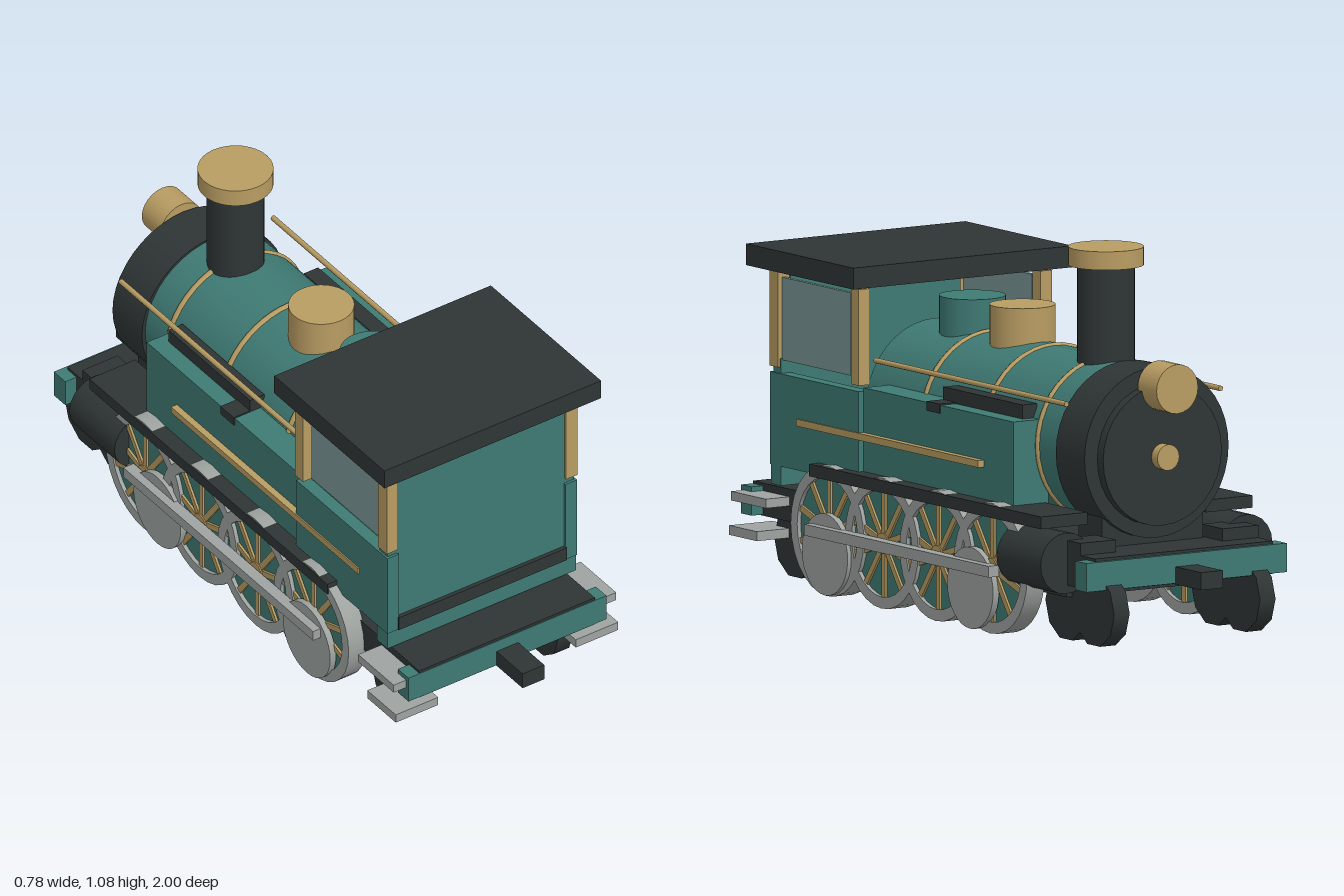
import * as THREE from 'three';

const mat = (color) => new THREE.MeshStandardMaterial({ color });

export function createModel() {
  const model = new THREE.Group();
  model.name = 'locomotive';
  const teal = mat(0x3f7a74), dark = mat(0x2f3535), brass = mat(0xb89c62);
  const steel = mat(0x9ea3a0), glass = mat(0x7b9697);

  const add = (name, geo, m, parent = model) => {
    const mesh = new THREE.Mesh(geo, m);
    mesh.name = name;
    parent.add(mesh);
    return mesh;
  };
  // Box given by its limits on each axis
  const box = (name, m, x0, x1, y0, y1, z0, z1, parent) => {
    const b = add(name, new THREE.BoxGeometry(x1 - x0, y1 - y0, z1 - z0), m, parent);
    b.position.set((x0 + x1) / 2, (y0 + y1) / 2, (z0 + z1) / 2);
    return b;
  };
  // The same box on both sides of the model
  const pair = (name, m, x0, x1, ...rest) => {
    box(name + 'Left', m, x0, x1, ...rest);
    box(name + 'Right', m, -x1, -x0, ...rest);
  };
  // Cylinder along z, from z0 to z1
  const drumZ = (name, m, r, x, y, z0, z1, sides = 32) => {
    const g = new THREE.CylinderGeometry(r, r, z1 - z0, sides).rotateX(Math.PI / 2);
    add(name, g, m).position.set(x, y, (z0 + z1) / 2);
  };
  // Upright cylinder
  const stack = (name, m, r, y0, y1, z) =>
    add(name, new THREE.CylinderGeometry(r, r, y1 - y0, 32), m).position.set(0, (y0 + y1) / 2, z);

  // Chassis, decks, beams and couplers
  box('deck', dark, -0.3, 0.3, 0.177, 0.27, -0.86, 0.87);
  box('belly', dark, -0.29, 0.29, 0.14, 0.25, -0.7, 0.6);
  box('rearBeam', teal, -0.338, 0.338, 0.18, 0.262, 0.82, 0.872);
  box('frontBeam', teal, -0.338, 0.338, 0.18, 0.262, -0.872, -0.815);
  box('rearCoupler', dark, -0.037, 0.037, 0.177, 0.227, 0.85, 1);
  box('frontCoupler', dark, -0.037, 0.037, 0.177, 0.227, -1, -0.85);
  pair('runningBoard', dark, 0.2, 0.357, 0.335, 0.37, -0.67, 0.5);
  pair('frontStep', dark, 0.18, 0.3, 0.265, 0.305, -0.785, -0.68);
  pair('upperStep', steel, 0.3, 0.38, 0.222, 0.248, 0.685, 0.86);
  pair('lowerStep', steel, 0.235, 0.38, 0.123, 0.15, 0.73, 0.87);

  // Boiler, smokebox and door
  drumZ('boiler', teal, 0.232, 0, 0.535, -0.58, 0.4, 40);
  drumZ('smokebox', dark, 0.243, 0, 0.53, -0.72, -0.575, 40);
  drumZ('smokeboxDoor', dark, 0.2, 0, 0.525, -0.75, -0.71, 32);
  drumZ('doorKnob', brass, 0.037, 0, 0.522, -0.78, -0.74, 20);
  drumZ('headlamp', brass, 0.07, 0, 0.722, -0.825, -0.73, 24);
  box('smokeboxSaddle', dark, -0.17, 0.17, 0.25, 0.36, -0.7, -0.58);
  for (const z of [-0.467, -0.198, 0.113]) {
    const band = add('boilerBand', new THREE.TorusGeometry(0.229, 0.01, 8, 48), brass);
    band.position.set(0, 0.535, z);
  }

  // Chimney and domes
  stack('chimney', dark, 0.081, 0.72, 1.035, -0.465);
  stack('chimneyCap', brass, 0.107, 1.03, 1.082, -0.465);
  stack('steamDome', brass, 0.093, 0.7, 0.864, -0.043);
  stack('rearDome', teal, 0.094, 0.7, 0.857, 0.21);

  // Side tanks, trim and handrails
  pair('sideTank', teal, 0.19, 0.308, 0.335, 0.608, -0.458, 0.3);
  pair('tankStripe', brass, 0.3, 0.328, 0.461, 0.481, -0.31, 0.61);
  pair('tankTopPipe', dark, 0.207, 0.256, 0.605, 0.648, -0.427, -0.025);
  pair('tankTopBracket', dark, 0.207, 0.312, 0.585, 0.612, -0.09, -0.025);
  for (const s of [-1, 1]) drumZ('handrail', brass, 0.008, s * 0.26, 0.68, -0.655, 0.31, 8);

  // Cab
  box('cabFloor', dark, -0.287, 0.287, 0.335, 0.378, 0.3, 0.752);
  box('cabBackWall', teal, -0.287, 0.287, 0.37, 0.9, 0.7, 0.74);
  box('cabBackSill', teal, -0.322, 0.322, 0.28, 0.337, 0.695, 0.745);
  box('cabBackHeader', teal, -0.318, 0.318, 0.885, 0.9, 0.7, 0.74);
  pair('cabSide', teal, 0.285, 0.324, 0.335, 0.598, 0.3, 0.748);
  pair('cabWaistRail', teal, 0.287, 0.318, 0.595, 0.64, 0.7, 0.74);
  pair('cabRearPost', brass, 0.287, 0.326, 0.615, 0.888, 0.705, 0.748);
  pair('cabFrontPost', brass, 0.287, 0.326, 0.615, 0.888, 0.297, 0.336);
  pair('cabWindow', glass, 0.3, 0.312, 0.635, 0.87, 0.358, 0.705);
  box('cabRoof', dark, -0.37, 0.37, 0.897, 0.958, 0.258, 0.8);

  // Spoked driving wheel: steel tyre, coloured disc, brass spokes
  const rimProfile = [[0.152, -0.03], [0.185, -0.03], [0.185, 0.03], [0.152, 0.03], [0.152, -0.03]]
    .map(([r, y]) => new THREE.Vector2(r, y));
  // Separate lathe per profile edge keeps the corners sharp
  const rimGeos = rimProfile.slice(1).map((p, i) =>
    new THREE.LatheGeometry([rimProfile[i], p], 28).rotateZ(-Math.PI / 2));
  const discGeo = new THREE.CylinderGeometry(0.155, 0.155, 0.036, 28).rotateZ(Math.PI / 2);
  const hubGeo = new THREE.CylinderGeometry(0.03, 0.03, 0.058, 16).rotateZ(Math.PI / 2);
  const spokeGeo = new THREE.BoxGeometry(0.05, 0.31, 0.018);
  const drivingWheel = (x, z) => {
    const wheel = new THREE.Group();
    wheel.name = 'drivingWheel';
    rimGeos.forEach((g) => add('tyre', g, steel, wheel));
    add('wheelDisc', discGeo, teal, wheel);
    add('hub', hubGeo, brass, wheel);
    for (let i = 0; i < 5; i++) add('spokes', spokeGeo, brass, wheel).rotation.x = (i * Math.PI) / 5;
    wheel.position.set(x, 0.19, z);
    model.add(wheel);
  };

  // Crank discs and small carrying wheels share a sideways drum
  const drumX = (name, m, r, w, x, y, z, sides) => {
    const g = new THREE.CylinderGeometry(r, r, w, sides).rotateZ(Math.PI / 2);
    add(name, g, m).position.set(x, y, z);
  };
  for (const s of [-1, 1]) {
    for (const z of [0.415, 0.14, -0.135, -0.41]) drivingWheel(s * 0.323, z);
    for (const z of [0.41, -0.325]) drumX('crankDisc', steel, 0.116, 0.02, s * 0.355, 0.125, z, 32);
    for (const z of [0.7, -0.67, -0.81]) drumX('carryingWheel', dark, 0.104, 0.052, s * 0.246, 0.115, z, 10);
    drumZ('steamCylinder', dark, 0.087, s * 0.304, 0.24, -0.72, -0.497, 20);
  }
  pair('couplingRod', steel, 0.355, 0.39, 0.173, 0.205, -0.455, 0.478);

  return model;
}
